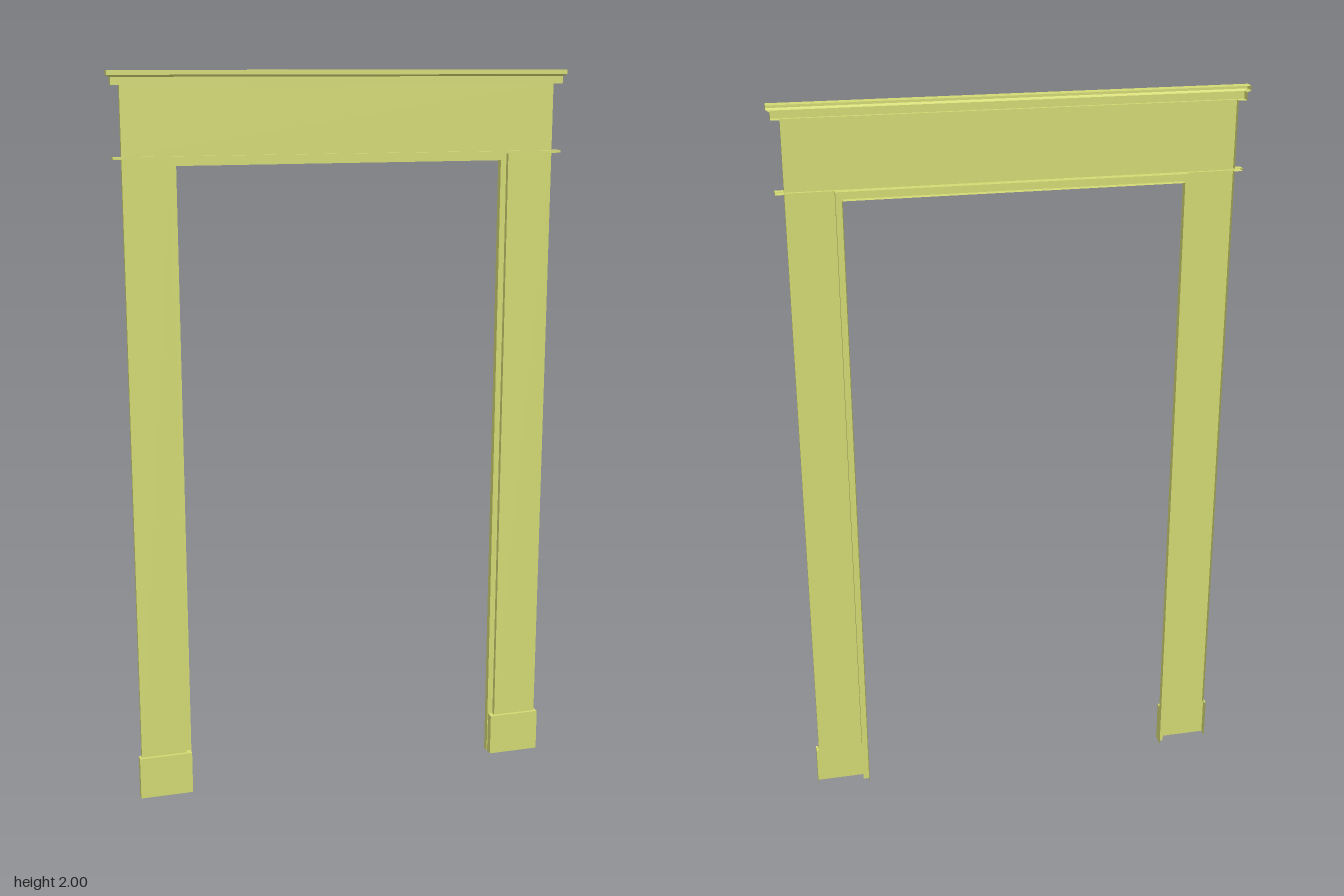
import * as THREE from 'three';

const BACK = -0.005;   // plane where the casing meets the wall
const material = new THREE.MeshStandardMaterial({ color: 0xd2d873, side: THREE.DoubleSide, flatShading: true });

// Skin an open surface through rows of [x, y, z] points
function skin(name, rows) {
  const pos = [];
  for (let i = 0; i < rows.length - 1; i++) {
    for (let j = 0; j < rows[i].length - 1; j++) {
      const a = rows[i][j], b = rows[i][j + 1], c = rows[i + 1][j + 1], d = rows[i + 1][j];
      pos.push(...a, ...b, ...c, ...a, ...c, ...d);
    }
  }
  const g = new THREE.BufferGeometry();
  g.setAttribute('position', new THREE.Float32BufferAttribute(pos, 3));
  g.computeVertexNormals();
  const mesh = new THREE.Mesh(g, material);
  mesh.name = name;
  return mesh;
}

// Open-backed board wrapping left side, front and right side at one height
const wrap = (y, x0, x1, z) => [[x0, y, BACK], [x0, y, z], [x1, y, z], [x1, y, BACK]];

// U-shaped path around the door opening, from right foot to left foot
const around = (x, y, z) => [[x, 0, z], [x, y, z], [-x, y, z], [-x, 0, z]];

export function createModel() {
  const model = new THREE.Group();
  model.name = 'doorCasing';

  // Side casings with taller, thicker plinth blocks at the foot
  for (const [side, s] of [['left', 1], ['right', -1]]) {
    const row = (y, inner, outer, z) => s > 0 ? wrap(y, inner, outer, z) : wrap(y, -outer, -inner, z);
    model.add(skin(side + 'Plinth', [
      row(0, 0.452, 0.6, 0.018),
      row(0.12, 0.452, 0.6, 0.018),
      row(0.12, 0.466, 0.593, 0.009),
    ]));
    model.add(skin(side + 'Casing', [
      row(0.12, 0.466, 0.593, 0.009),
      row(1.777, 0.466, 0.593, 0.009),
    ]));
  }

  // Header: each level is [y, half width, front z]
  const levels = (list) => list.map(([y, x, z]) => wrap(y, -x, x, z));
  model.add(skin('headerFillet', levels([
    [1.777, 0.593, 0.009], [1.777, 0.616, 0.018], [1.784, 0.616, 0.018], [1.784, 0.593, 0.009],
  ])));
  model.add(skin('headerBoard', levels([[1.784, 0.593, 0.009], [1.963, 0.593, 0.009]])));
  model.add(skin('crownMoulding', levels([
    [1.963, 0.593, 0.009], [1.963, 0.616, 0.018], [1.983, 0.616, 0.018],
    [1.985, 0.62, 0.021], [1.988, 0.626, 0.025], [2, 0.626, 0.025], [2, 0.626, BACK],
  ])));

  // Underside of the header across the opening
  model.add(skin('headerSoffit', [
    [[-0.466, 1.777, BACK], [0.466, 1.777, BACK]],
    [[-0.466, 1.777, 0.009], [0.466, 1.777, 0.009]],
  ]));

  // Rebate strip and lining running around the opening
  model.add(skin('jambLining', [
    around(0.466, 1.777, BACK), around(0.45, 1.758, BACK), around(0.45, 1.758, -0.025),
  ]));

  return model;
}
